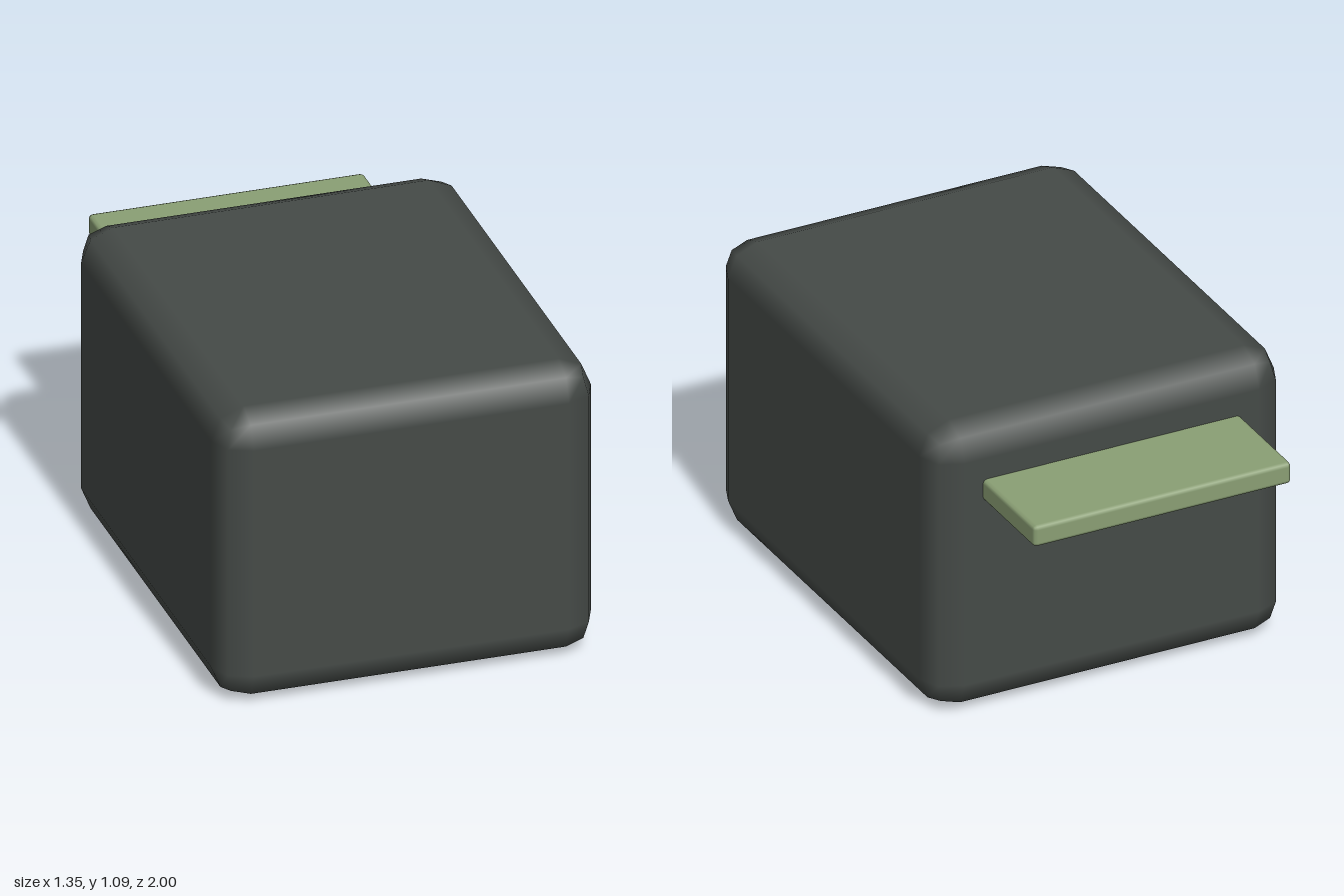
import * as THREE from 'three';
import { RoundedBoxGeometry } from 'three/addons/geometries/RoundedBoxGeometry.js';

// Rounded block given by its minimum and maximum corners
function roundedBlock(name, min, max, radius, segments, color) {
  const size = max.map((v, i) => v - min[i]);
  const mesh = new THREE.Mesh(
    new RoundedBoxGeometry(...size, segments, radius),
    new THREE.MeshStandardMaterial({ color })
  );
  mesh.position.set(...max.map((v, i) => (v + min[i]) / 2));
  mesh.name = name;
  return mesh;
}

export function createModel() {
  const model = new THREE.Group();
  model.name = 'blockWithRearLedge';

  // Main body with a two-step rounded edge
  model.add(roundedBlock('body', [-0.675, 0, -0.625], [0.675, 1.085, 1], 0.115, 1, 0x454a47));

  // Thin ledge sticking out of the back, set into the body
  model.add(roundedBlock('rearLedge', [-0.49, 0.81, -1], [0.49, 0.89, -0.5], 0.015, 1, 0x8a9f74));

  return model;
}
